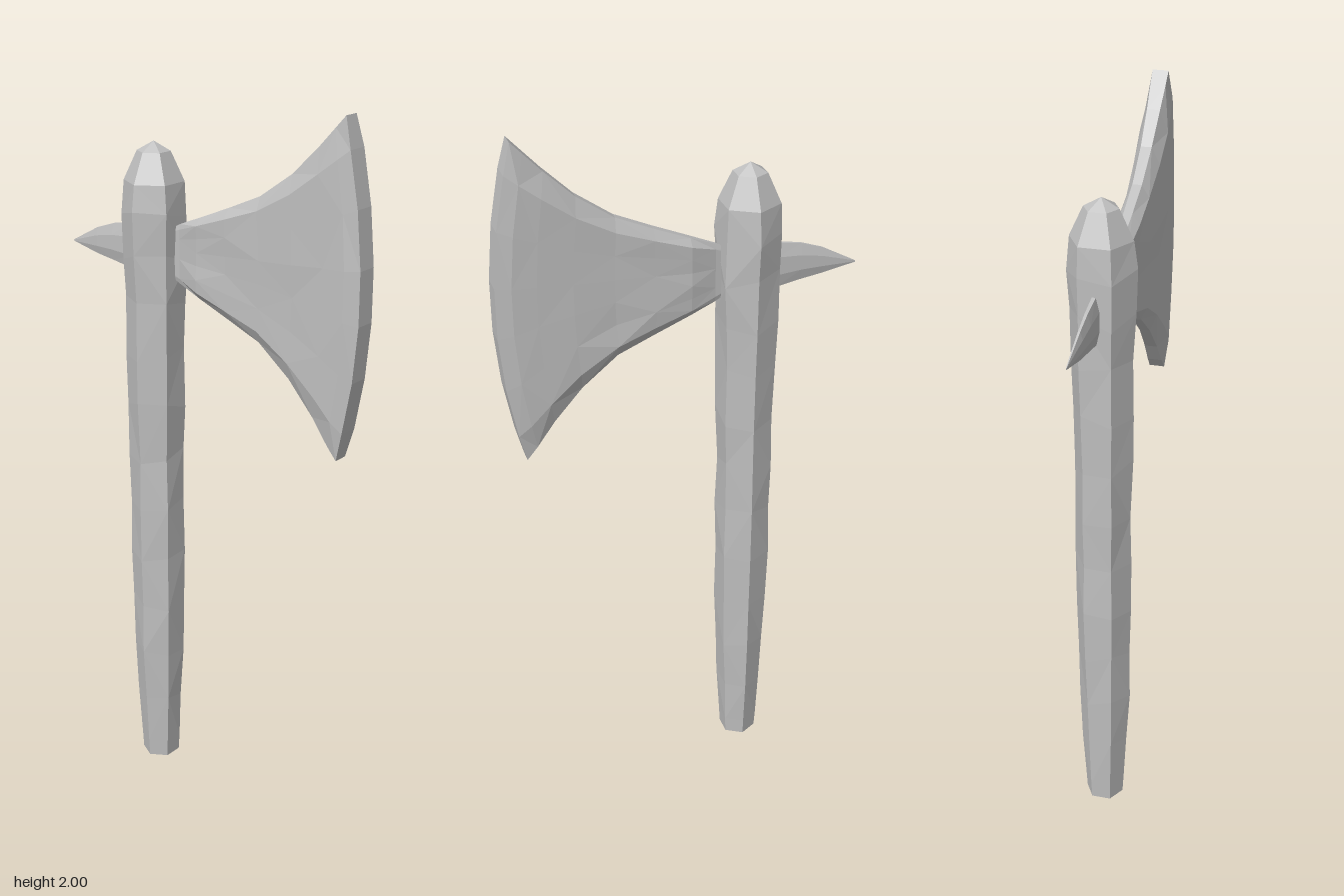
import * as THREE from 'three';

// Small seeded noise, -1..1, for the hand-hewn facets
let seed = 7;
function noise() {
  seed = (seed * 16807) % 2147483647;
  return (seed / 2147483647) * 2 - 1;
}

// Skin a list of equal-length rings (clockwise seen from the last ring) and close both ends
function loft(rings) {
  const n = rings[0].length;
  const out = [];
  const tri = (...pts) => pts.forEach((p) => out.push(...p));
  for (let s = 0; s + 1 < rings.length; s++) {
    const a = rings[s];
    const b = rings[s + 1];
    for (let i = 0; i < n; i++) {
      const j = (i + 1) % n;
      if ((s + i) % 2) {
        tri(a[i], b[i], a[j]);
        tri(b[i], b[j], a[j]);
      } else {
        tri(a[i], b[i], b[j]);
        tri(a[i], b[j], a[j]);
      }
    }
  }
  const first = rings[0];
  const last = rings[rings.length - 1];
  for (let i = 0; i < n / 2 - 1; i++) {
    const k = n - 1 - i;
    tri(last[i], last[k], last[k - 1]);
    tri(last[i], last[k - 1], last[i + 1]);
    tri(first[i], first[k - 1], first[k]);
    tri(first[i], first[i + 1], first[k - 1]);
  }
  const geometry = new THREE.BufferGeometry();
  geometry.setAttribute('position', new THREE.Float32BufferAttribute(out, 3));
  geometry.computeVertexNormals();
  return geometry;
}

// Six-sided tapering shaft with a domed top
function handleGeometry() {
  const profile = [
    [0, 0.054], [0.05, 0.057], [0.2, 0.064], [0.36, 0.072], [0.52, 0.075], [0.67, 0.077],
    [0.83, 0.077], [0.98, 0.078], [1.13, 0.08], [1.28, 0.082], [1.42, 0.085], [1.56, 0.088],
    [1.67, 0.089], [1.76, 0.083], [1.84, 0.046], [1.865, 0.002],
  ];
  return loft(profile.map(([y, radius], s) => {
    const rough = s > 1 && s < 13 ? 1 : 0;
    const ring = [];
    for (let i = 0; i < 6; i++) {
      const angle = Math.PI / 6 + (i * Math.PI) / 3;
      const r = radius + 0.004 * rough * noise();
      ring.push([-0.193 + r * Math.cos(angle), y + 0.02 * rough * noise(), r * Math.sin(angle)]);
    }
    return ring;
  }));
}

// Flat section: up the front face, down the back face
function flatRing({ x, bottom, top, rim, mid, bulge = 0, rows, rough = 0, z = 0 }) {
  const side = (sign) => rows.map((t, i) => {
    const end = i === 0 || i === rows.length - 1;
    const half = end ? rim : mid + rough * noise();
    return [
      x + bulge * (1 - (2 * t - 1) ** 2),
      bottom + (top - bottom) * t,
      z + sign * half,
    ];
  });
  return [...side(1), ...side(-1).reverse()];
}

// Flared blade: x at the rim, bottom, top, rim and middle half thickness, forward bulge
function bladeGeometry() {
  const rows = [0, 0.09, 0.25, 0.42, 0.58, 0.75, 0.91, 1];
  const stations = [
    [-0.14, 1.51, 1.635, 0.004, 0.006, 0],
    [-0.1, 1.49, 1.655, 0.005, 0.009, 0],
    [-0.03, 1.462, 1.683, 0.01, 0.026, 0],
    [0.07, 1.422, 1.724, 0.012, 0.03, 0],
    [0.17, 1.38, 1.768, 0.013, 0.033, 0.01],
    [0.27, 1.3, 1.838, 0.015, 0.035, 0.02],
    [0.35, 1.212, 1.915, 0.018, 0.037, 0.035],
    [0.4, 1.145, 1.968, 0.021, 0.037, 0.05],
    [0.43, 1.11, 2.0, 0.022, 0.03, 0.062],
  ];
  return loft(stations.map(([x, bottom, top, rim, mid, bulge], s) => flatRing({
    x, bottom, top, rim, mid, bulge, rows, rough: s > 1 && s < 8 ? 0.003 : 0,
  })));
}

// Thin back spike, tip first
function spikeGeometry() {
  const stations = [
    [-0.497, 1.547, 1.551, 0.001, 0.001, -0.006],
    [-0.4, 1.527, 1.602, 0.003, 0.009, -0.001],
    [-0.34, 1.518, 1.622, 0.004, 0.012, 0],
    [-0.27, 1.505, 1.634, 0.005, 0.014, 0],
    [-0.22, 1.505, 1.634, 0.005, 0.014, 0],
  ];
  return loft(stations.map(([x, bottom, top, rim, mid, z]) => flatRing({
    x, bottom, top, rim, mid, z, rows: [0, 0.3, 0.7, 1],
  })));
}

export function createModel() {
  seed = 7;
  const group = new THREE.Group();
  group.name = 'axe';
  const stone = new THREE.MeshStandardMaterial({ color: 0xbfbfbf });
  stone.name = 'stone grey';
  stone.flatShading = true;

  const parts = { handle: handleGeometry(), blade: bladeGeometry(), backSpike: spikeGeometry() };
  for (const [name, geometry] of Object.entries(parts)) {
    const mesh = new THREE.Mesh(geometry, stone);
    mesh.name = name;
    group.add(mesh);
  }
  return group;
}
